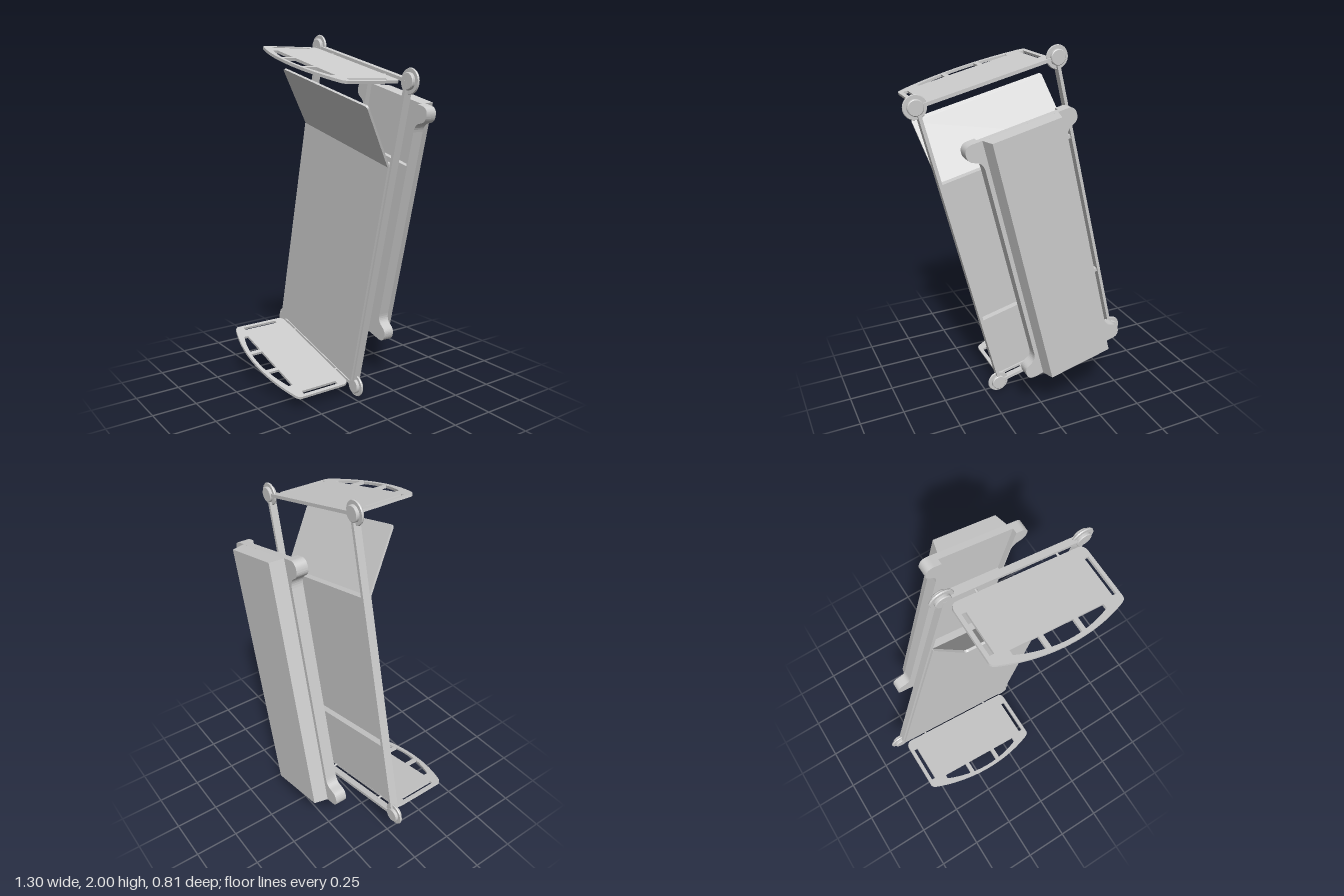
import * as THREE from 'three';

const material = new THREE.MeshStandardMaterial({ color: 0xcccccc });

function addMesh(parent, name, geometry, x = 0, y = 0, z = 0) {
  const mesh = new THREE.Mesh(geometry, material);
  mesh.name = name;
  mesh.position.set(x, y, z);
  parent.add(mesh);
  return mesh;
}

const box = (w, h, d) => new THREE.BoxGeometry(w, h, d);
const extrude = (shape, depth) =>
  new THREE.ExtrudeGeometry(shape, { depth, bevelEnabled: false, curveSegments: 16 });

function polygonPath(points) {
  return new THREE.Path(points.map(([x, y]) => new THREE.Vector2(x, y)));
}

// End board: rounded panel with a bowed outer edge, two grip slots and three windows
function endBoardGeometry(thickness) {
  const s = new THREE.Shape();
  s.moveTo(-0.335, 0.005);
  s.lineTo(0.335, 0.005);
  s.quadraticCurveTo(0.375, 0.005, 0.375, 0.045);
  s.lineTo(0.375, 0.315);
  s.quadraticCurveTo(0.375, 0.337, 0.345, 0.347);
  s.quadraticCurveTo(0.18, 0.405, 0, 0.405);
  s.quadraticCurveTo(-0.18, 0.405, -0.345, 0.347);
  s.quadraticCurveTo(-0.375, 0.337, -0.375, 0.315);
  s.lineTo(-0.375, 0.045);
  s.quadraticCurveTo(-0.375, 0.005, -0.335, 0.005);

  for (const c of [-0.342, 0.342])
    s.holes.push(polygonPath([[c - 0.012, 0.07], [c - 0.012, 0.293], [c + 0.012, 0.293], [c + 0.012, 0.07]]));

  const bow = (x) => 0.385 - 0.72 * x * x;
  for (const [a, b] of [[-0.262, -0.11], [-0.085, 0.085], [0.11, 0.262]]) {
    const points = [[b, 0.31], [a, 0.31]];
    for (let i = 0; i <= 8; i++) {
      const x = a + ((b - a) * i) / 8;
      points.push([x, bow(x)]);
    }
    s.holes.push(polygonPath(points));
  }
  const g = extrude(s, thickness);
  g.translate(0, 0, -thickness / 2);
  return g.rotateX(Math.PI / 2);
}

// Base plate outline: four rounded feet at the corners, optional recess in the head end
function basePlateShape(recess) {
  const s = new THREE.Shape();
  const W = 0.298, N = 0.225, L = 0.705;
  s.moveTo(-W + 0.045, -L);
  s.lineTo(W - 0.045, -L);
  s.quadraticCurveTo(W, -L, W, -L + 0.045);
  s.bezierCurveTo(W, -L + 0.11, N, -L + 0.07, N, -L + 0.15);
  s.lineTo(N, L - 0.15);
  s.bezierCurveTo(N, L - 0.07, W, L - 0.11, W, L - 0.045);
  s.quadraticCurveTo(W, L, W - 0.045, L);
  if (recess) {
    s.lineTo(0.218, L);
    s.lineTo(0.218, L - 0.34);
    s.lineTo(-0.218, L - 0.34);
    s.lineTo(-0.218, L);
  }
  s.lineTo(-W + 0.045, L);
  s.quadraticCurveTo(-W, L, -W, L - 0.045);
  s.bezierCurveTo(-W, L - 0.11, -N, L - 0.07, -N, L - 0.15);
  s.lineTo(-N, -L + 0.15);
  s.bezierCurveTo(-N, -L + 0.07, -W, -L + 0.11, -W, -L + 0.045);
  s.quadraticCurveTo(-W, -L, -W + 0.045, -L);
  return s;
}

// Bumper wheel: short hub with a thin wide flange
function bumperGeometry() {
  const profile = [
    [0, -0.022], [0.038, -0.022], [0.042, -0.018], [0.042, -0.006], [0.06, -0.006], [0.063, 0],
    [0.06, 0.006], [0.042, 0.006], [0.042, 0.018], [0.038, 0.022], [0, 0.022],
  ].map(([x, y]) => new THREE.Vector2(x, y));
  const g = new THREE.LatheGeometry(profile, 40).toNonIndexed();
  g.computeVertexNormals();
  return g.rotateX(Math.PI / 2);
}

export function createModel() {
  const model = new THREE.Group();
  model.name = 'bed';
  // The whole bed stands on end, leaning sideways
  const bed = new THREE.Group();
  bed.name = 'tiltedBed';
  bed.position.y = 1;
  bed.rotation.z = -0.2375;
  model.add(bed);

  // Frame: side rails, end bars and cross bars
  const frame = new THREE.Group();
  frame.name = 'frame';
  bed.add(frame);
  for (const s of [-1, 1]) {
    addMesh(frame, 'sideRail', box(0.018, 1.74, 0.042), s * 0.386, 0, -0.031);
    addMesh(frame, 'endBar', box(0.77, 0.018, 0.036), 0, s * 0.868, -0.031);
    for (const t of [-1, 1])
      addMesh(frame, 'bumperWheel', bumperGeometry(), s * 0.393, t * 0.869, -0.033);
  }
  for (const y of [0.435, -0.43])
    addMesh(frame, 'crossBar', box(0.756, 0.02, 0.036), 0, y, -0.025);

  // Lying surface: flat deck and raised backrest
  addMesh(bed, 'deck', box(0.77, 1.274, 0.012), 0, -0.197, -0.002);
  const b = new THREE.Shape();
  b.moveTo(-0.382, 0);
  b.lineTo(0.382, 0);
  b.lineTo(0.382, 0.345);
  b.quadraticCurveTo(0.382, 0.364, 0.363, 0.364);
  b.lineTo(-0.363, 0.364);
  b.quadraticCurveTo(-0.382, 0.364, -0.382, 0.345);
  const backrest = addMesh(bed, 'backrest', extrude(b, 0.012), 0, 0.442, -0.007);
  backrest.rotation.x = 0.55;

  // Head and foot boards on short pins
  for (const [s, name] of [[1, 'headBoard'], [-1, 'footBoard']]) {
    const board = new THREE.Group();
    board.name = name;
    board.position.y = s * 0.86;
    bed.add(board);
    addMesh(board, 'boardPanel', endBoardGeometry(0.014));
    for (const x of [-0.228, 0.228]) {
      const pin = addMesh(board, 'boardPin', new THREE.CylinderGeometry(0.006, 0.006, 0.04, 16), x, 0, -0.004);
      pin.rotation.x = Math.PI / 2;
    }
  }

  // Separate base behind the bed: footed plate and tapered housing
  const base = new THREE.Group();
  base.name = 'base';
  bed.add(base);
  addMesh(base, 'basePlate', extrude(basePlateShape(false), 0.035), 0, 0, -0.335);
  addMesh(base, 'baseRecessedPlate', extrude(basePlateShape(true), 0.03), 0, 0, -0.3);
  const housing = box(0.406, 1.41, 0.075);
  const p = housing.attributes.position;
  for (let i = 0; i < p.count; i++)
    if (p.getZ(i) < 0) p.setXY(i, p.getX(i) * 0.9, p.getY(i) * 0.995);
  housing.computeVertexNormals();
  addMesh(base, 'baseHousing', housing, 0, 0, -0.3715);

  return model;
}
